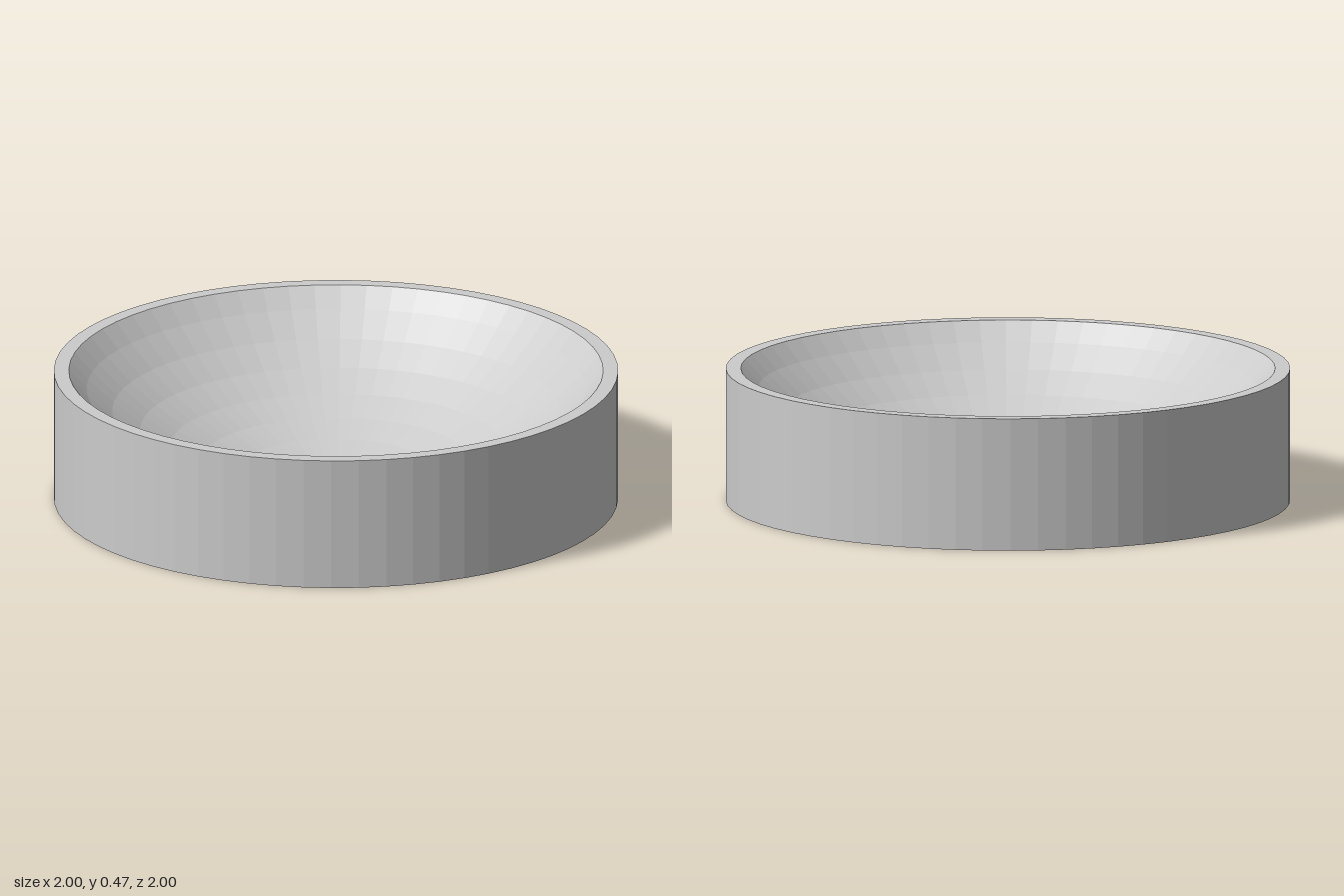
import * as THREE from 'three';

const SIDES = 64;
const HEIGHT = 0.475;
const RIM_INNER = 0.947;

export function createModel() {
  const group = new THREE.Group();
  group.name = 'dish';
  const material = new THREE.MeshStandardMaterial({
    color: 0xcccccc, flatShading: true, side: THREE.DoubleSide,
  });

  function addLathe(name, points) {
    const profile = points.map(([r, y]) => new THREE.Vector2(r, y));
    const mesh = new THREE.Mesh(new THREE.LatheGeometry(profile, SIDES), material);
    mesh.name = name;
    group.add(mesh);
  }

  // Thin upright wall, open underneath
  addLathe('outerWall', [[1, 0], [1, HEIGHT]]);

  // Flat ring joining wall and bowl
  addLathe('rim', [[1, HEIGHT], [RIM_INNER, HEIGHT]]);

  // Shallow spherical bowl, cut off at the rim
  const radius = 1.25;
  const centreY = HEIGHT + Math.sqrt(radius ** 2 - RIM_INNER ** 2);
  const bowl = [[RIM_INNER, HEIGHT]];
  for (let k = 8; k >= 0; k--) {
    const a = (k * Math.PI) / 32;
    bowl.push([radius * Math.sin(a), centreY - radius * Math.cos(a)]);
  }
  addLathe('bowl', bowl);

  return group;
}
